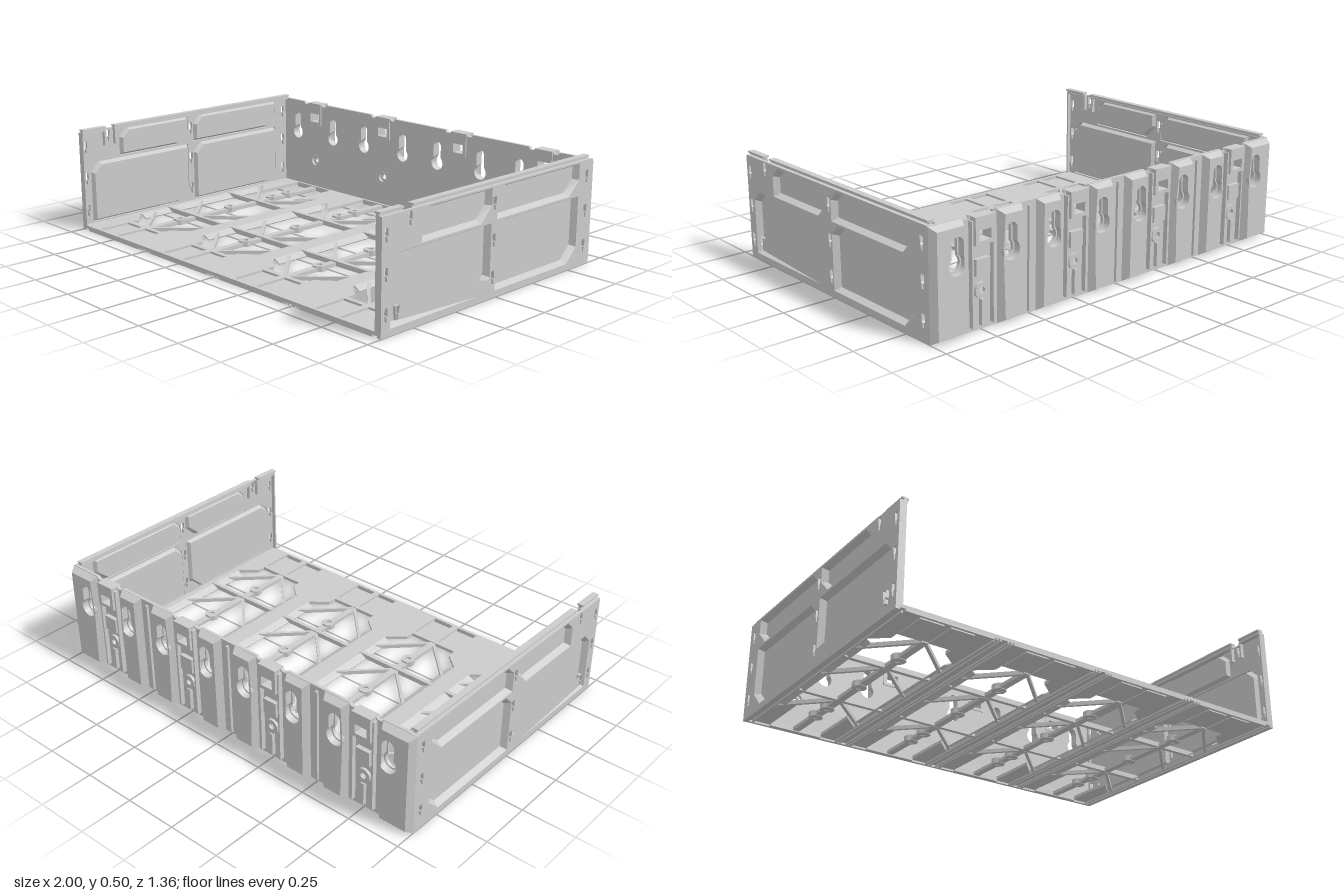
import * as THREE from 'three';

const mat = new THREE.MeshStandardMaterial({ color: 0xcccccc, flatShading: true, side: THREE.DoubleSide });
const BAYS = [-0.75, -0.25, 0.25, 0.75];

function add(parent, name, geo, x = 0, y = 0, z = 0) {
  const m = new THREE.Mesh(geo, mat);
  m.name = name;
  m.position.set(x, y, z);
  parent.add(m);
  return m;
}

// Box given by its limits
function box(parent, name, x0, x1, y0, y1, z0, z1) {
  return add(parent, name, new THREE.BoxGeometry(x1 - x0, y1 - y0, z1 - z0), (x0 + x1) / 2, (y0 + y1) / 2, (z0 + z1) / 2);
}

const pts = list => list.map(([x, y]) => new THREE.Vector2(x, y));
const poly = list => new THREE.Path(pts(list));
const rect = (x0, x1, y0, y1) => poly([[x0, y0], [x1, y0], [x1, y1], [x0, y1]]);
const circle = (x, y, r) => new THREE.Path().absarc(x, y, r, 0, Math.PI * 2, false);

function plate(outline, holes, depth) {
  const s = new THREE.Shape(outline.getPoints());
  s.holes.push(...holes);
  return new THREE.ExtrudeGeometry(s, { depth, bevelEnabled: false, curveSegments: 10 });
}

// Round hole with a narrower slot rising from it
function keyhole(cx, grow = 0) {
  const w = 0.023 + grow, r = 0.035 + grow, a = Math.acos(w / r);
  return new THREE.Path()
    .absarc(cx, 0.39, w, 0, Math.PI, false)
    .absarc(cx, 0.305, r, Math.PI - a, Math.PI * 2 + a, false);
}

// Pull the outer contour of an extrusion inward on its rear face
function taper(geo, amount) {
  geo.computeBoundingBox();
  const { min, max } = geo.boundingBox, p = geo.attributes.position, e = 1e-4;
  const pull = (v, lo, hi) => (v < lo + e ? v + amount : v > hi - e ? v - amount : v);
  for (let i = 0; i < p.count; i++) {
    if (p.getZ(i) > min.z + e) continue;
    p.setXY(i, pull(p.getX(i), min.x, max.x), pull(p.getY(i), min.y, max.y));
  }
  geo.computeVertexNormals();
  return geo;
}

// Pressed panel: bevelled rim leading to a flat sunken face
function pressing(outline, depth, inset) {
  const us = outline.map(p => p[0]), vs = outline.map(p => p[1]);
  const u0 = Math.min(...us), u1 = Math.max(...us), v0 = Math.min(...vs), v1 = Math.max(...vs);
  const uc = (u0 + u1) / 2, vc = (v0 + v1) / 2;
  const ku = 1 - 2 * inset / (u1 - u0), kv = 1 - 2 * inset / (v1 - v0);
  const n = outline.length, pos = [], idx = [];
  outline.forEach(([u, v]) => pos.push(1, v, u));
  outline.forEach(([u, v]) => pos.push(1 - depth, vc + (v - vc) * kv, uc + (u - uc) * ku));
  for (let i = 0; i < n; i++) {
    const j = (i + 1) % n;
    idx.push(i, j, n + j, i, n + j, n + i);
    if (i > 0 && i < n - 1) idx.push(n, n + j, n + i);
  }
  const g = new THREE.BufferGeometry();
  g.setAttribute('position', new THREE.Float32BufferAttribute(pos, 3));
  g.setIndex(idx);
  const flat = g.toNonIndexed();
  flat.computeVertexNormals();
  return flat;
}

function sideWall() {
  const g = new THREE.Group();
  // Panel outline with two cut corners
  const panel = (z0, z1, y0, y1) =>
    [[z0 + 0.065, y0], [z1, y0], [z1, y1 - 0.045], [z1 - 0.045, y1], [z0, y1], [z0, y0 + 0.065]];
  const panels = [panel(0.04, 0.63, 0.03, 0.325), panel(-0.555, 0.005, 0.03, 0.325),
    panel(0.04, 0.46, 0.335, 0.472), panel(-0.555, 0.005, 0.335, 0.472)];
  const slot = (z, y) => poly([[z - 0.005, y - 0.03], [z + 0.005, y - 0.03], [z + 0.005, y - 0.01], [z + 0.01, y - 0.005],
    [z + 0.01, y + 0.028], [z - 0.01, y + 0.028], [z - 0.01, y - 0.005], [z - 0.005, y - 0.01]]);
  const slots = [[0.59, 0.085], [0.525, 0.445]];
  for (const z of [0.655, 0.022, -0.61]) for (const y of [0.09, 0.25, 0.405]) slots.push([z, y]);
  const holes = [...panels.map(poly), ...slots.map(([z, y]) => slot(z, y))];
  add(g, 'sideFrame', plate(rect(-0.635, 0.68, 0, 0.48), holes, 0.014).rotateY(-Math.PI / 2), 1);
  panels.forEach(p => add(g, 'sidePanel', pressing(p, 0.028, 0.014)));
  // Top rail with a gap, and the inner front and rear posts
  for (const [a, b] of [[-0.635, 0.5], [0.55, 0.68]]) {
    box(g, 'topRail', 0.968, 0.982, 0.472, 0.49, a, b);
    box(g, 'topRailLip', 0.96, 0.99, 0.488, 0.496, a, b);
    box(g, 'topRailSeat', 0.965, 0.998, 0.472, 0.48, a, b);
  }
  box(g, 'frontPostRib', 0.968, 0.988, 0.02, 0.478, 0.672, 0.68);
  for (const z of [0.49, 0.55]) box(g, 'latchCheek', 0.968, 0.99, 0.4, 0.478, z - 0.005, z + 0.005);
  for (const z of [0.625, -0.58]) for (const y of [0.41, 0.425]) box(g, 'markRib', 0.995, 1, y - 0.002, y + 0.002, z - 0.008, z + 0.008);
  return g;
}

function bayLattice(x) {
  const g = new THREE.Group();
  g.position.x = x;
  box(g, 'spine', -0.016, 0.016, 0.004, 0.02, -0.63, 0.49);
  for (const z of [-0.21, 0.19]) box(g, 'crossBar', -0.215, 0.215, 0.004, 0.027, z - 0.01, z + 0.01);
  for (const s of [-1, 1]) {
    for (const z of [-0.21, 0.19, 0.485]) {
      const bar = add(g, 'diagonalBar', new THREE.BoxGeometry(0.28, 0.018, 0.014), s * 0.103, 0.012, z - 0.103);
      bar.rotation.y = s * Math.PI / 4;
    }
    // Sloping edge beside the wide part of the opening
    const edge = add(g, 'slopedEdge', new THREE.BoxGeometry(0.038, 0.005, 0.76), s * 0.19, 0.013, -0.015);
    edge.rotation.z = s * 0.5;
    box(g, 'frontPocket', s * 0.07 - 0.055, s * 0.07 + 0.055, 0.004, 0.014, 0.5, 0.652);
  }
  // Octagonal bosses with a hole
  for (const z of [-0.43, -0.32, -0.035, 0.285]) {
    const oct = poly(Array.from({ length: 8 }, (_, i) => {
      const a = (i + 0.5) * Math.PI / 4;
      return [Math.cos(a) * 0.033, Math.sin(a) * 0.033];
    }));
    add(g, 'boss', plate(oct, [circle(0, 0, 0.014)], 0.026).rotateX(Math.PI / 2), 0, 0.028, z);
  }
  box(g, 'rearLip', -0.127, 0.127, 0, 0.02, -0.645, -0.622);
  return g;
}

function floor() {
  const g = new THREE.Group(), holes = [];
  const half = [[0.126, -0.622], [0.126, -0.365], [0.205, -0.445], [0.205, 0.375], [0.126, 0.44], [0.126, 0.482]];
  for (const b of BAYS) {
    holes.push(poly([...half.map(([x, z]) => [b + x, z]), ...half.map(([x, z]) => [b - x, z]).reverse()]));
    for (const s of [-0.07, 0.07]) holes.push(rect(b + s - 0.055, b + s + 0.055, 0.505, 0.665));
  }
  add(g, 'floorPlate', plate(rect(-0.99, 0.99, -0.645, 0.68), holes, 0.015).rotateX(Math.PI / 2), 0, 0.024);
  // Underside ribs along the solid strips and around the rim
  for (const c of [-0.5, 0, 0.5]) for (const d of [-0.035, -0.018, 0.018, 0.035])
    box(g, 'undersideRib', c + d - 0.004, c + d + 0.004, 0, 0.01, -0.64, 0.68);
  for (const s of [-1, 1]) box(g, 'rimRib', s * 0.99 - 0.01, s * 0.99 + 0.01, 0, 0.024, -0.64, 0.68);
  for (const b of BAYS) {
    box(g, 'frontRib', b - 0.205, b + 0.205, 0, 0.01, 0.668, 0.68);
    for (const s of [-1, 1]) box(g, 'stripRib', b + s * 0.21 - 0.004, b + s * 0.21 + 0.004, 0, 0.01, -0.64, 0.66);
    g.add(Object.assign(bayLattice(b), { name: 'bayLattice' }));
  }
  return g;
}

function backWall() {
  const g = new THREE.Group(), holes = [], top = [];
  for (const b of BAYS) {
    holes.push(keyhole(b - 0.135), keyhole(b + 0.135), circle(b, 0.165, 0.028), rect(b - 0.03, b + 0.03, 0.378, 0.422));
    for (const s of [-1, 1]) {
      const notch = [[0.085, 0.478], [0.077, 0.466], [0.055, 0.466], [0.05, 0.475]].map(([x, y]) => [b + s * x, y]);
      top.push(...(s < 0 ? notch : notch.reverse()));
    }
  }
  const outline = poly([[1, 0], [1, 0.478], ...top.reverse(), [-1, 0.478], [-1, 0]]);
  add(g, 'backSheet', plate(outline, holes, 0.015), 0, 0, -0.65);
  for (const b of BAYS) {
    for (const s of [-1, 1]) {
      // Raised pad behind each keyhole; the end pads reach the corners
      const far = Math.abs(b + s * 0.2) > 0.9 ? 0.25 : 0.21;
      const xs = [b + s * 0.085, b + s * far].sort((p, q) => p - q);
      const pad = plate(rect(xs[0], xs[1], 0, 0.476), [keyhole(b + s * 0.135, 0.007)], 0.032);
      add(g, 'keyholePad', taper(pad, 0.018), 0, 0, -0.682);
      box(g, 'clipRib', b + s * 0.053 - 0.004, b + s * 0.053 + 0.004, 0.02, 0.46, -0.672, -0.65);
    }
    // Clip with its window, standing slightly proud on both sides
    const clip = plate(rect(b - 0.048, b + 0.048, 0.362, 0.477), [rect(b - 0.03, b + 0.03, 0.378, 0.422)], 0.055);
    add(g, 'clip', clip, 0, 0, -0.684);
    // Countersunk screw seat
    add(g, 'screwSeat', plate(circle(b, 0.165, 0.034), [circle(b, 0.165, 0.014)], 0.012), 0, 0, -0.662);
    add(g, 'screwRim', new THREE.TorusGeometry(0.027, 0.004, 6, 20), b, 0.165, -0.637);
    box(g, 'clipStop', b - 0.035, b + 0.035, 0.23, 0.3, -0.67, -0.65);
    box(g, 'clipSpine', b - 0.008, b + 0.008, 0.02, 0.13, -0.668, -0.65);
  }
  for (const c of [-0.5, 0, 0.5]) box(g, 'seamRib', c - 0.006, c + 0.006, 0.01, 0.46, -0.662, -0.65);
  return g;
}

export function createModel() {
  const model = new THREE.Group();
  model.name = 'openTray';
  const left = sideWall(), right = sideWall();
  right.scale.x = -1;
  model.add(Object.assign(left, { name: 'leftWall' }), Object.assign(right, { name: 'rightWall' }),
    Object.assign(floor(), { name: 'floor' }), Object.assign(backWall(), { name: 'backWall' }));
  return model;
}
